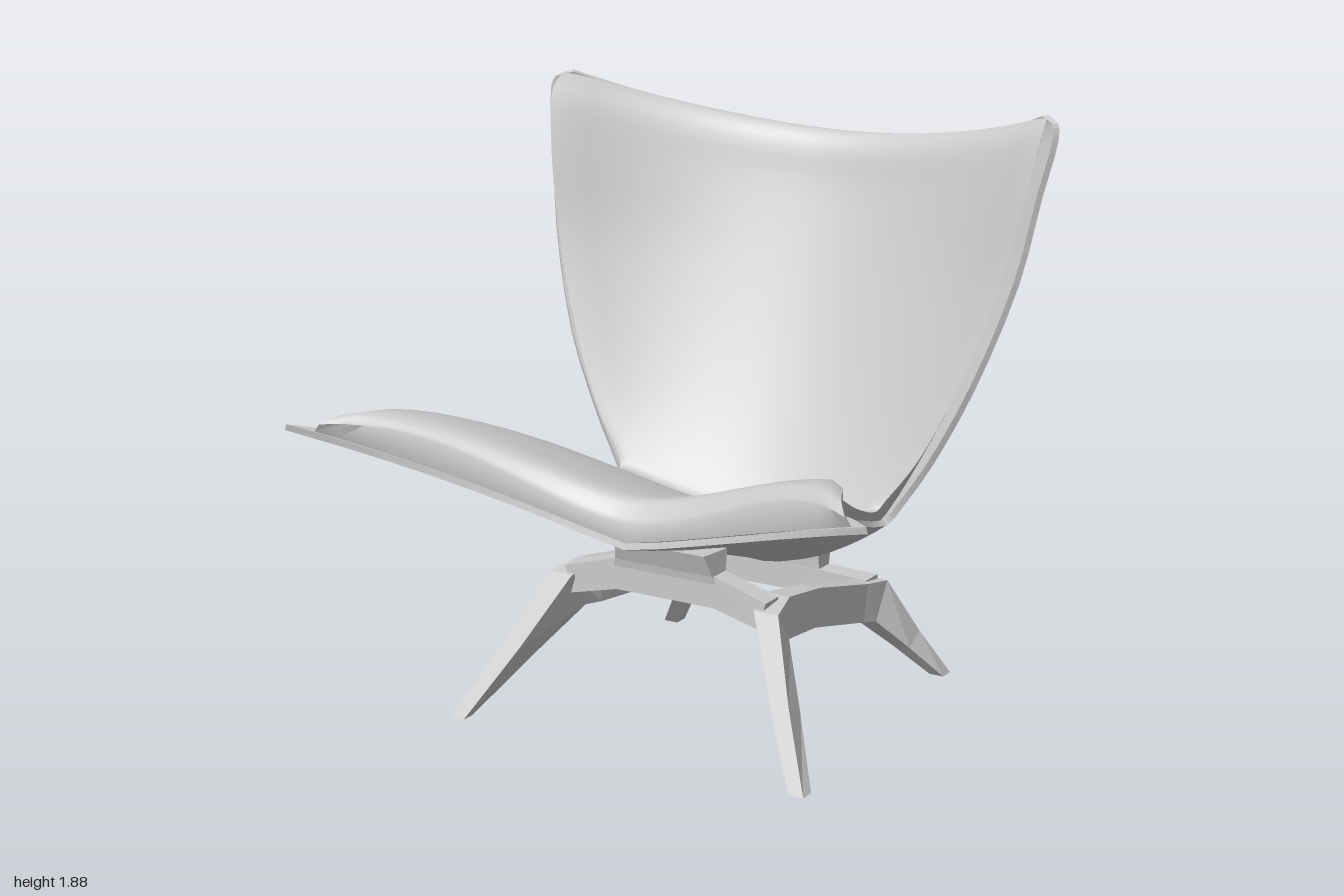
import * as THREE from 'three';
import { toCreasedNormals } from 'three/addons/utils/BufferGeometryUtils.js';

const V = (x, y, z) => new THREE.Vector3(x, y, z);
const { lerp } = THREE.MathUtils;

// Profile rows run from the seat front to the back's top:
// centre y, centre z, edge x, edge y, edge z
const SHELL = [
  [0.65, 0.53, 1, 0.96, 0.87], [0.60, 0.36, 0.8, 0.875, 0.58], [0.55, 0.17, 0.61, 0.785, 0.32],
  [0.48, -0.03, 0.51, 0.695, 0.1], [0.42, -0.2, 0.48, 0.635, -0.08], [0.365, -0.36, 0.485, 0.605, -0.19],
  [0.39, -0.46, 0.5, 0.61, -0.225], [0.53, -0.55, 0.54, 0.67, -0.245], [0.75, -0.61, 0.62, 0.8, -0.27],
  [1.05, -0.695, 0.74, 1.05, -0.31], [1.3, -0.765, 0.845, 1.38, -0.385], [1.5, -0.82, 0.89, 1.65, -0.44],
  [1.62, -0.855, 0.92, 1.82, -0.475], [1.665, -0.87, 0.91, 1.865, -0.49], [1.68, -0.875, 0.86, 1.885, -0.52],
];
const CUSHION = [
  [0.73, 0.53, 0.9, 0.985, 0.825], [0.79, 0.48, 0.86, 1.015, 0.77], [0.78, 0.38, 0.78, 1.0, 0.6],
  [0.72, 0.17, 0.61, 0.905, 0.34], [0.65, -0.02, 0.515, 0.785, 0.1], [0.59, -0.15, 0.48, 0.695, -0.08],
  [0.56, -0.22, 0.48, 0.665, -0.18], [0.61, -0.275, 0.5, 0.7, -0.2], [0.77, -0.38, 0.59, 0.82, -0.225],
  [1.03, -0.515, 0.7, 1.05, -0.265], [1.32, -0.64, 0.81, 1.38, -0.325], [1.55, -0.725, 0.87, 1.68, -0.37],
  [1.68, -0.765, 0.89, 1.84, -0.42], [1.715, -0.805, 0.88, 1.885, -0.48], [1.7, -0.85, 0.86, 1.88, -0.51],
];
// Rows of the shell under each cushion row
const BED = [SHELL[0], SHELL[0].map((v, k) => lerp(v, SHELL[1][k], 0.3)), ...SHELL.slice(1, 7), ...SHELL.slice(8)];

function buildGeometry(points, index) {
  const geo = new THREE.BufferGeometry().setFromPoints(points);
  geo.setIndex(index);
  geo.computeVertexNormals();
  return geo;
}

// Grid of dished cross-sections; span trims the sides, bulge swells the front of the seat
function dishedSurface(rows, nRows, nCols, span, bulge) {
  const centre = new THREE.CatmullRomCurve3(rows.map(r => V(0, r[0], r[1])));
  const edge = new THREE.CatmullRomCurve3(rows.map(r => V(r[2], r[3], r[4])));
  return Array.from({ length: nRows + 1 }, (_, j) => {
    const t = j / nRows, c = centre.getPoint(t), e = edge.getPoint(t);
    const power = lerp(1.2, 1.9, Math.min(1, 1.5 * t));
    const swell = bulge * Math.max(0, 1 - 3 * t);
    return Array.from({ length: nCols + 1 }, (_, i) => {
      const s = span * (2 * i / nCols - 1), a = Math.abs(s);
      const fy = lerp(a ** power, Math.sin(Math.PI / 2 * a ** 0.9) ** 2, swell);
      return V(e.x * s, lerp(c.y, e.y, fy), lerp(c.z, e.z, a ** 1.95));
    });
  });
}

// The same grid moved along its normals, towards the sitter
function offsetSurface(grid, distance) {
  const nRows = grid.length - 1, nCols = grid[0].length - 1;
  return grid.map((row, j) => row.map((p, i) => {
    const across = row[Math.min(i + 1, nCols)].clone().sub(row[Math.max(i - 1, 0)]);
    const along = grid[Math.min(j + 1, nRows)][i].clone().sub(grid[Math.max(j - 1, 0)][i]);
    return p.clone().addScaledVector(across.cross(along).normalize(), distance);
  }));
}

// Closed body between two grids of equal size
function slab(topGrid, bottomGrid) {
  const nRows = topGrid.length - 1, nCols = topGrid[0].length - 1;
  const w = nCols + 1, N = w * (nRows + 1), index = [], loop = [];
  for (let j = 0; j < nRows; j++) for (let i = 0; i < nCols; i++) {
    const a = j * w + i, b = a + 1, c = b + w, d = a + w;
    index.push(a, b, c, a, c, d, N + a, N + c, N + b, N + a, N + d, N + c);
  }
  // rim wall
  for (let i = 0; i < nCols; i++) loop.push(i);
  for (let j = 0; j < nRows; j++) loop.push(j * w + nCols);
  for (let i = nCols; i > 0; i--) loop.push(nRows * w + i);
  for (let j = nRows; j > 0; j--) loop.push(j * w);
  loop.forEach((p, k) => {
    const q = loop[(k + 1) % loop.length];
    index.push(N + p, N + q, q, N + p, q, p);
  });
  return buildGeometry([...topGrid.flat(), ...bottomGrid.flat()], index);
}

// Rectangular bar through stations [x, y, z, width along side, height], cut off at the floor
function bar(stations, side) {
  const mid = stations.map(s => V(s[0], s[1], s[2]));
  const points = [], index = [], last = mid.length - 1;
  stations.forEach(([, , , w, h], i) => {
    const dirs = [];
    if (i > 0) dirs.push(mid[i].clone().sub(mid[i - 1]).normalize());
    if (i < last) dirs.push(mid[i + 1].clone().sub(mid[i]).normalize());
    const n = dirs.reduce((a, d) => a.add(d), V(0, 0, 0)).cross(side).normalize();
    for (const [a, b] of [[1, 1], [-1, 1], [-1, -1], [1, -1]]) {
      const p = mid[i].clone().addScaledVector(side, a * w / 2).addScaledVector(n, b * h / 2);
      p.y = Math.max(0, p.y);
      points.push(p);
    }
  });
  for (let i = 0; i < last; i++) for (let k = 0; k < 4; k++) {
    const a = i * 4 + k, b = i * 4 + (k + 1) % 4;
    index.push(a, b, b + 4, a, b + 4, a + 4);
  }
  const e = last * 4;
  index.push(0, 2, 1, 0, 3, 2, e, e + 1, e + 2, e, e + 2, e + 3);
  return buildGeometry(points, index);
}

export function createModel() {
  const group = new THREE.Group();
  const smooth = new THREE.MeshStandardMaterial({ color: 0xcccccc });
  const faceted = new THREE.MeshStandardMaterial({ color: 0xcccccc, flatShading: true });
  const add = (name, geo, mat = faceted) => {
    const mesh = new THREE.Mesh(geo, mat);
    mesh.name = name;
    group.add(mesh);
  };
  const X = V(1, 0, 0), Z = V(0, 0, 1);

  // Thin shell of seat and back
  const outer = dishedSurface(SHELL, 42, 16, 1, 0);
  add('shell', slab(offsetSurface(outer, 0.02), outer));

  // Cushion filling the shell, its side edges rounded off
  const bed = offsetSurface(dishedSurface(BED, 56, 32, 0.93, 0), 0.022);
  const top = dishedSurface(CUSHION, 56, 32, 1, 1);
  top.forEach((row, j) => [0, 32].forEach(i => row[i].lerp(bed[j][i], 0.15)));
  add('cushion', toCreasedNormals(slab(top, bed), 0.9), smooth);

  // Side frames: front leg, rail and rear leg in one sweep
  for (const [name, m] of [['leftSideFrame', 1], ['rightSideFrame', -1]]) {
    add(name, bar([
      [0.61, -0.02, 0.535, 0.05, 0.055], [0.485, 0.2, 0.405, 0.065, 0.085], [0.37, 0.395, 0.285, 0.085, 0.14],
      [0.34, 0.405, 0.2, 0.085, 0.135], [0.335, 0.375, 0, 0.07, 0.125], [0.33, 0.29, -0.33, 0.07, 0.125],
      [0.335, 0.275, -0.415, 0.085, 0.14], [0.42, 0.13, -0.505, 0.065, 0.08], [0.51, -0.02, -0.58, 0.05, 0.055],
    ].map(([x, ...rest]) => [x * m, ...rest]), X));
  }

  // Cross bars
  add('frontCrossBar', bar([[-0.35, 0.435, 0.27, 0.08, 0.09], [-0.18, 0.48, 0.27, 0.07, 0.1],
    [0.18, 0.48, 0.27, 0.07, 0.1], [0.35, 0.435, 0.27, 0.08, 0.09]], Z));
  add('rearCrossBar', bar([[-0.34, 0.3, -0.41, 0.08, 0.1], [-0.17, 0.31, -0.42, 0.07, 0.085],
    [0.17, 0.31, -0.42, 0.07, 0.085], [0.34, 0.3, -0.41, 0.08, 0.1]], Z));

  // Pads between frame and shell
  add('frontSupport', bar([[0, 0.48, 0.27, 0.38, 0.06], [0, 0.53, 0.27, 0.35, 0.08], [0, 0.595, 0.265, 0.32, 0.14]], X));
  add('rearSupport', bar([[0, 0.33, -0.42, 0.32, 0.06], [0, 0.4, -0.425, 0.32, 0.08]], X));
  return group;
}
